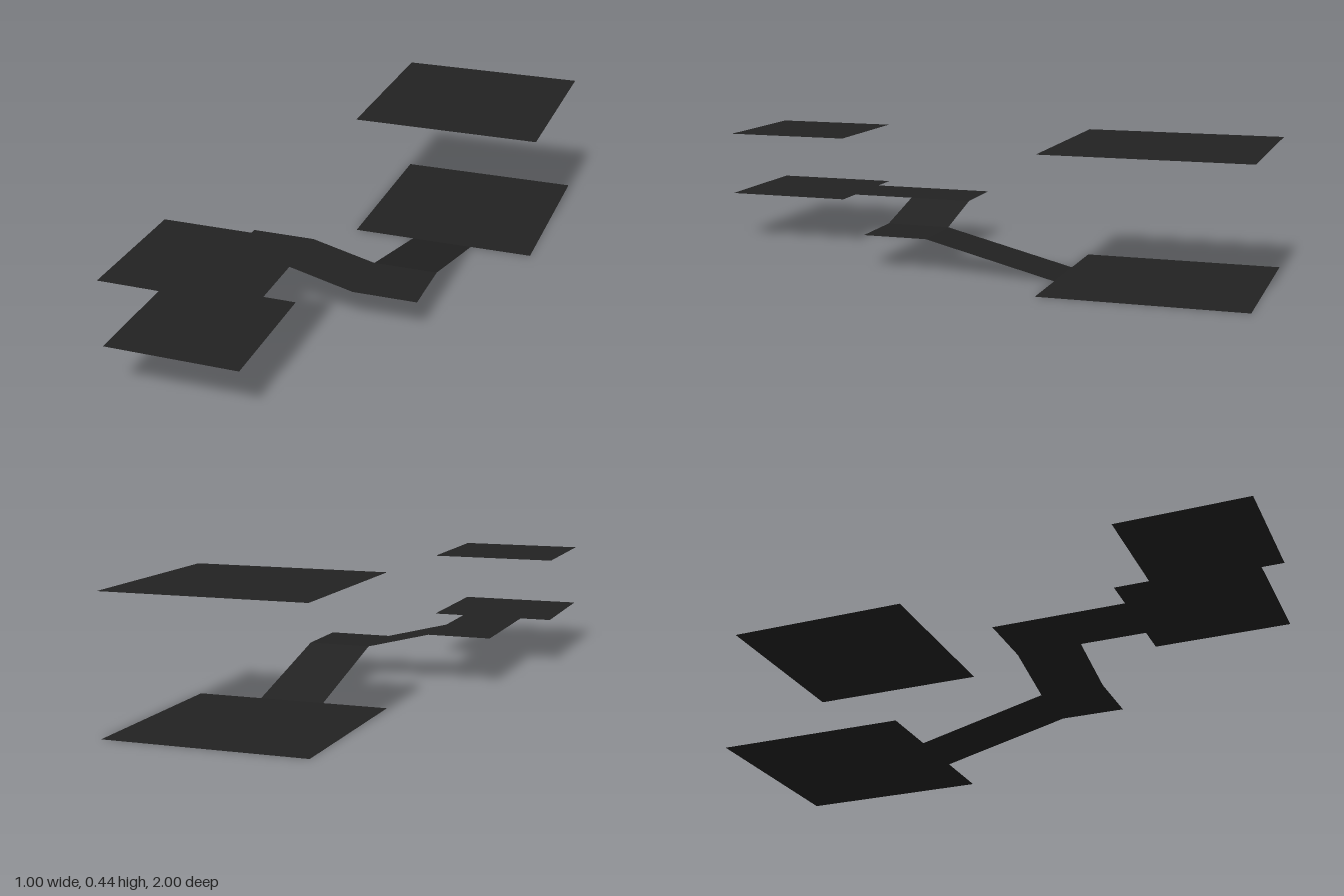
import * as THREE from 'three';

const U = 1 / 9; // layout module: the plan is 9 x 18 modules

export function createModel() {
  const group = new THREE.Group();
  const charcoal = new THREE.MeshStandardMaterial({ color: 0x222222, side: THREE.DoubleSide });
  charcoal.name = 'charcoal';

  // Rectangular sheet in modules; height(s, t) gives y with s, t from 0 to 1 along x and z
  function sheet(name, x0, x1, z0, z1, height) {
    const geo = new THREE.PlaneGeometry(1, 1).rotateX(-Math.PI / 2);
    const p = geo.attributes.position;
    for (let i = 0; i < p.count; i++) {
      const s = p.getX(i) + 0.5, t = p.getZ(i) + 0.5;
      p.setXYZ(i, (x0 + (x1 - x0) * s) * U, height(s, t) * U, (z0 + (z1 - z0) * t) * U);
    }
    geo.computeVertexNormals();
    const mesh = new THREE.Mesh(geo, charcoal);
    mesh.name = name;
    group.add(mesh);
  }
  const level = (y) => () => y;

  // Large back room
  sheet('largeRoomFloor', -1.5, 4.5, -9, -3, level(0));
  sheet('largeRoomCeiling', -1.5, 4.5, -9, -3, level(4));

  // Corridor climbing from the large room to the small one
  sheet('longRamp', 0.5, 2.5, -3, 1, (s, t) => t);
  sheet('lowerLanding', 0.5, 2.5, 1, 3, level(1));
  sheet('shortRamp', -1.5, 0.5, 1, 3, (s) => 1.5 - 0.5 * s);
  sheet('upperLanding', -3.5, -1.5, 1, 3, level(1.5));
  sheet('upperCorridor', -3.5, -1.5, 3, 5, level(1.5));

  // Small front room
  sheet('smallRoomFloor', -4.5, -0.5, 5, 9, level(1.5));
  sheet('smallRoomCeiling', -4.5, -0.5, 5, 9, level(3.5));

  return group;
}
